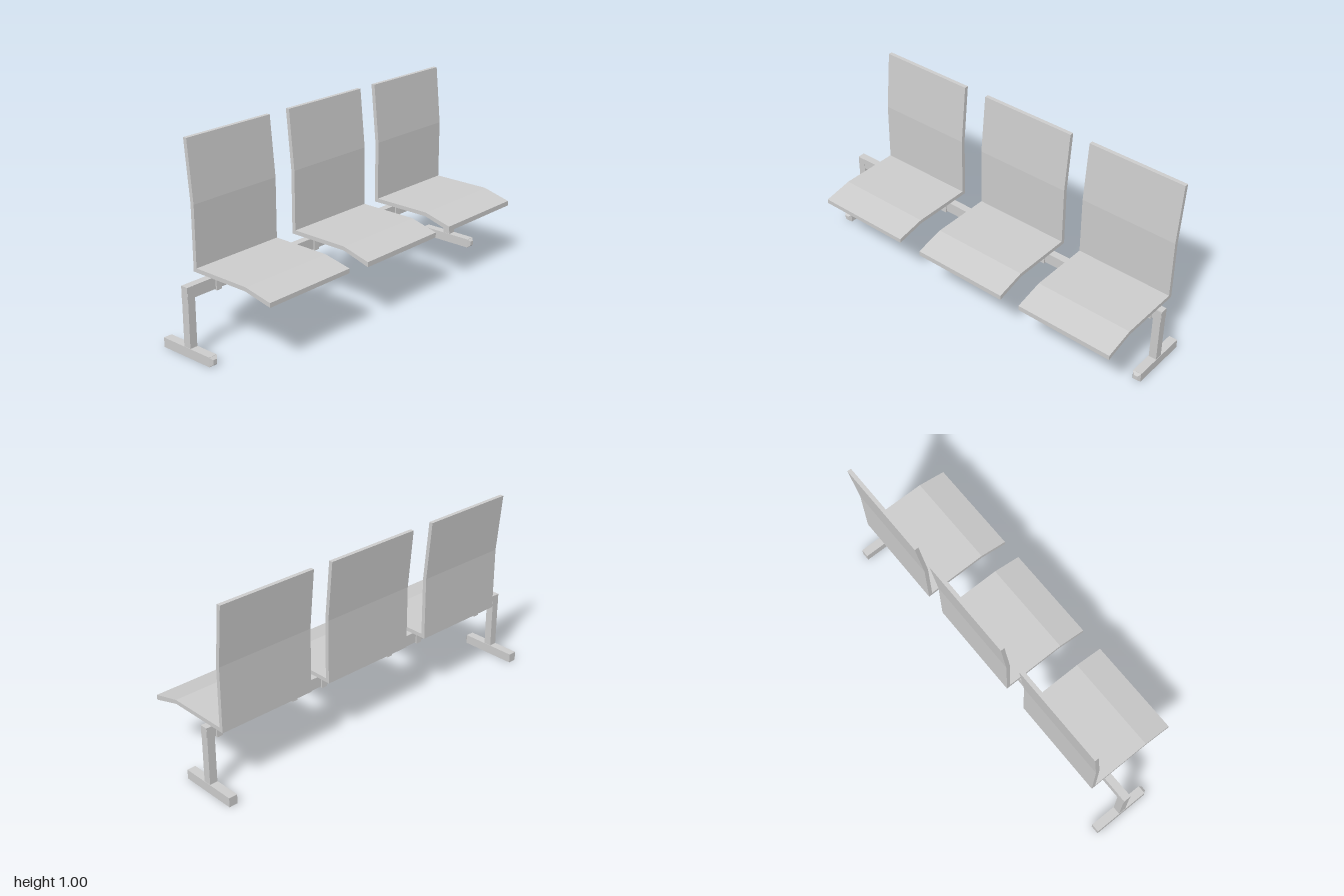
import * as THREE from 'three';

const material = new THREE.MeshStandardMaterial({ color: 0xcccccc, flatShading: true });

function add(parent, name, geometry) {
  const mesh = new THREE.Mesh(geometry, material);
  mesh.name = name;
  parent.add(mesh);
  return mesh;
}

// Box given by its lowest and highest corner
function span(x0, x1, y0, y1, z0, z1) {
  return new THREE.BoxGeometry(x1 - x0, y1 - y0, z1 - z0)
    .translate((x0 + x1) / 2, (y0 + y1) / 2, (z0 + z1) / 2);
}

// Side outline in x, y extruded along z
function extrudeProfile(points, z0, z1) {
  const shape = new THREE.Shape(points.map(([x, y]) => new THREE.Vector2(x, y)));
  return new THREE.ExtrudeGeometry(shape, { depth: z1 - z0, bevelEnabled: false }).translate(0, 0, z0);
}

// One-piece bent shell: front lip, seat, upright back, reclined top
function seatShell(z0, z1, lipTop, lipBottom) {
  return extrudeProfile([
    [-0.222, 0.355], [0.125, 0.355], [0.28, lipBottom], [0.28, lipTop],
    [0.125, 0.376], [-0.201, 0.376], [-0.201, 0.69], [-0.231, 1.0],
    [-0.252, 1.0], [-0.222, 0.69],
  ], z0, z1);
}

// Foot end cap that narrows towards +x
function footCap(zc) {
  const cap = new THREE.BoxGeometry(0.014, 0.048, 0.046);
  const p = cap.attributes.position;
  for (let i = 0; i < p.count; i++) {
    if (p.getX(i) > 0) p.setXYZ(i, p.getX(i), p.getY(i) * 0.5, p.getZ(i) * 0.5);
  }
  return cap.translate(0.037, 0.025, zc);
}

export function createModel() {
  const model = new THREE.Group();
  model.name = 'seatingBench';

  // Long beam carrying all seats
  add(model, 'beam', span(-0.14, -0.1, 0.295, 0.355, -1, 1));

  // Post and foot at either end
  for (const side of [-1, 1]) {
    const leg = new THREE.Group();
    leg.name = side > 0 ? 'frontLeg' : 'backLeg';
    const zc = side * 0.977;
    add(leg, 'post', span(-0.141, -0.099, 0.045, 0.354, zc - 0.021, zc + 0.021));
    add(leg, 'foot', span(-0.283, 0.03, 0.001, 0.05, zc - 0.023, zc + 0.023));
    add(leg, 'footCap', footCap(zc));
    model.add(leg);
  }

  // Three seats, each clamped to the beam by two brackets
  const seats = [
    [0.326, 0.852, 0.345, 0.322],
    [-0.332, 0.195, 0.336, 0.31],
    [-0.971, -0.443, 0.336, 0.31],
  ];
  seats.forEach(([z0, z1, lipTop, lipBottom], i) => {
    const seat = new THREE.Group();
    seat.name = `seat${i + 1}`;
    add(seat, 'shell', seatShell(z0, z1, lipTop, lipBottom));
    for (const zc of [z0 + 0.04, z1 - 0.04]) {
      add(seat, 'bracket', extrudeProfile(
        [[-0.148, 0.289], [-0.092, 0.289], [-0.095, 0.356], [-0.145, 0.356]], zc - 0.016, zc + 0.016));
    }
    model.add(seat);
  });

  return model;
}
